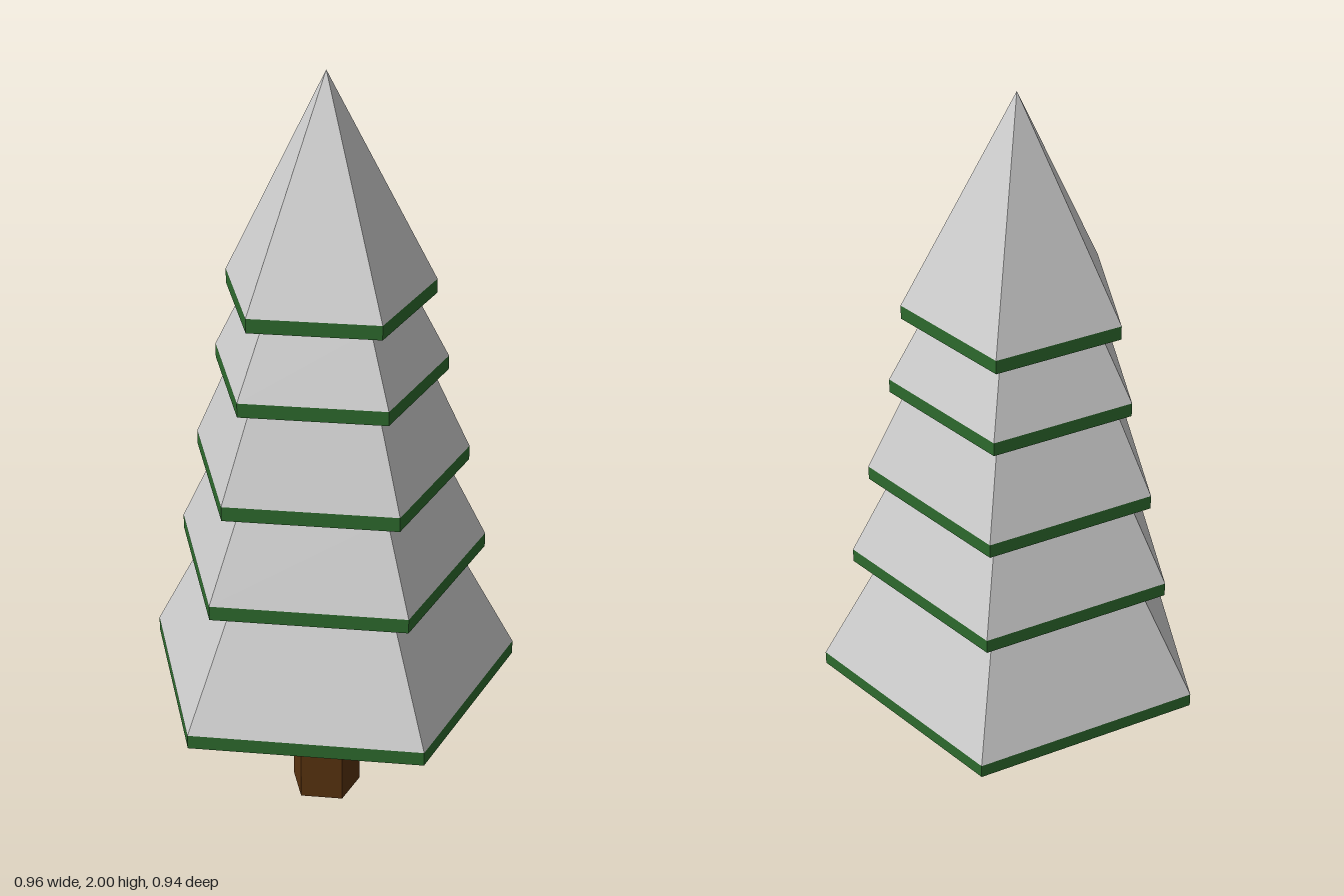
import * as THREE from 'three';

const SIDES = 5;
const TURN = THREE.MathUtils.degToRad(-4);

const material = (color) => new THREE.MeshStandardMaterial({ color, flatShading: true });

// Five-sided prism, frustum or cone standing on height y0
function prism(name, mat, topRadius, bottomRadius, y0, y1) {
  const geometry = new THREE.CylinderGeometry(topRadius, bottomRadius, y1 - y0, SIDES, 1, false, TURN);
  geometry.translate(0, (y0 + y1) / 2, 0);
  const mesh = new THREE.Mesh(geometry, mat);
  mesh.name = name;
  return mesh;
}

export function createModel() {
  const tree = new THREE.Group();
  tree.name = 'tree';
  const bark = material(0x58320f);
  const needles = material(0x2d6a2d);
  const snow = material(0xcccccc);

  // Trunk
  const trunk = prism('trunk', bark, 0.095, 0.095, 0, 0.35);
  trunk.position.set(0.003, 0, -0.04);
  tree.add(trunk);

  // Branch tiers: slab bottom, slab top, cap top, slab radius, cap top radius
  const tiers = [
    [0.35, 0.387, 0.69, 0.508, 0.347],
    [0.687, 0.725, 0.95, 0.422, 0.312],
    [0.946, 0.984, 1.21, 0.373, 0.27],
    [1.205, 1.242, 1.42, 0.313, 0.222],
    [1.415, 1.452, 2, 0.279, 0],
  ];
  tiers.forEach(([bottom, rim, top, radius, topRadius], i) => {
    const tier = new THREE.Group();
    tier.name = `branchTier${i + 1}`;
    tier.position.set(0.008, 0, -0.04);
    tier.add(prism('needleSlab', needles, radius, radius, bottom, rim));
    tier.add(prism('snowCap', snow, topRadius, radius, rim, top));
    tree.add(tier);
  });

  return tree;
}
